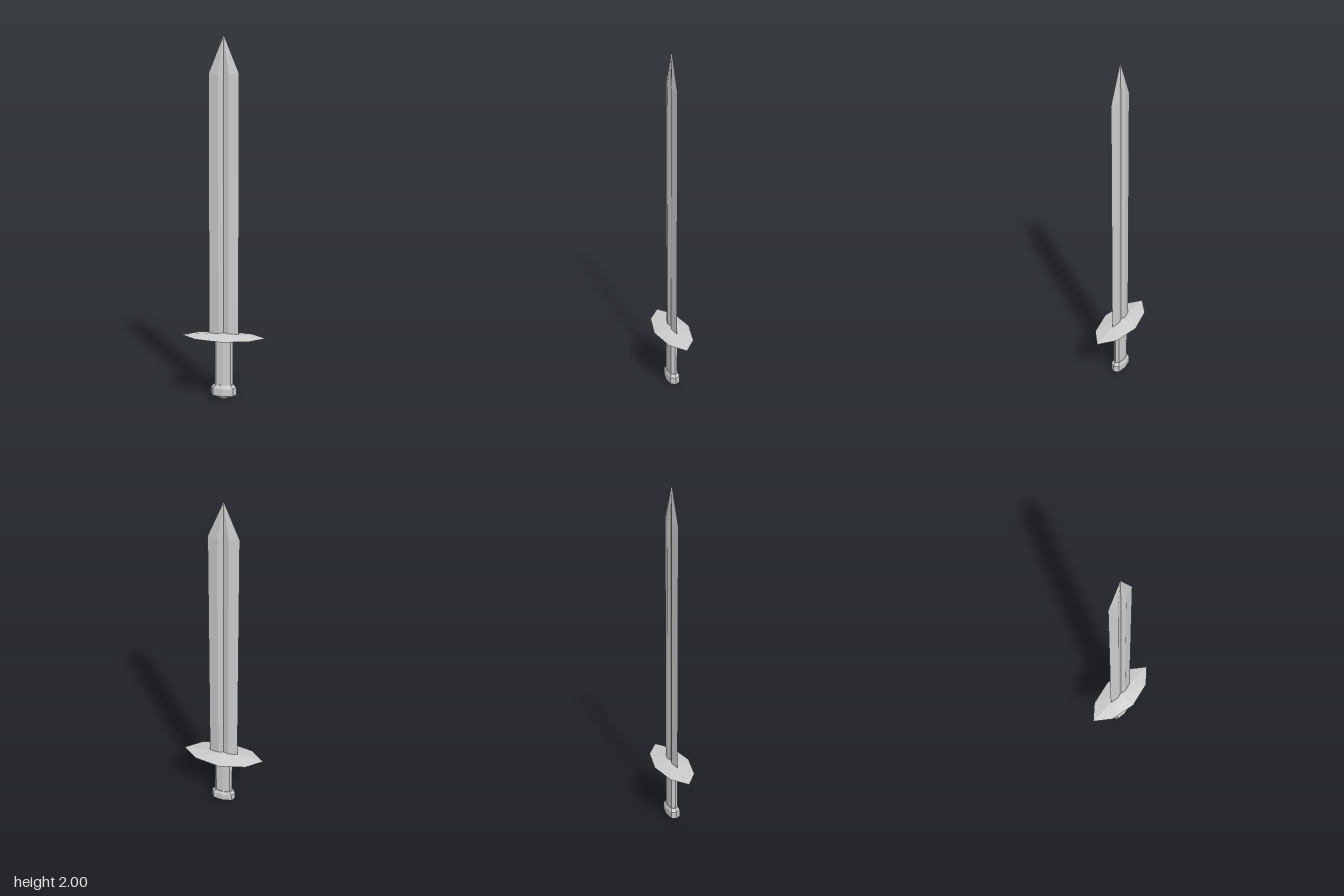
import * as THREE from 'three';

// Eight-sided outline, symmetric in x and z: end point, corner point, middle point.
function outline(endX, cornerX, cornerZ, midZ) {
  return [
    [endX, 0], [cornerX, cornerZ], [0, midZ], [-cornerX, cornerZ],
    [-endX, 0], [-cornerX, -cornerZ], [0, -midZ], [cornerX, -cornerZ],
  ];
}

// Skins a stack of [y, outline] sections from bottom to top, and closes both ends.
function loft(name, sections) {
  const pos = [];
  const point = (s, i) => {
    const [y, ring] = sections[s];
    const [x, z] = ring[i % ring.length];
    return [x, y, z];
  };
  const tri = (a, b, c) => pos.push(...a, ...b, ...c);
  const last = sections.length - 1;
  for (let i = 0; i < 8; i++) {
    for (let s = 0; s < last; s++) {
      const a = point(s, i), b = point(s, i + 1);
      const c = point(s + 1, i + 1), d = point(s + 1, i);
      tri(a, c, b);
      tri(a, d, c);
    }
    tri([0, sections[0][0], 0], point(0, i), point(0, i + 1));
    tri([0, sections[last][0], 0], point(last, i + 1), point(last, i));
  }
  const geometry = new THREE.BufferGeometry();
  geometry.setAttribute('position', new THREE.Float32BufferAttribute(pos, 3));
  geometry.computeVertexNormals();
  const material = new THREE.MeshStandardMaterial({ color: 0xcccccc, flatShading: true });
  const mesh = new THREE.Mesh(geometry, material);
  mesh.name = name;
  return mesh;
}

export function createModel() {
  const group = new THREE.Group();
  group.name = 'sword';
  const tip = outline(0, 0, 0, 0);

  // Blade: thin edges, two ridges and a shallow groove down the middle
  const bladeSection = outline(0.082, 0.028, 0.013, 0.004);
  group.add(loft('blade', [[0.37, bladeSection], [1.8, bladeSection], [2, tip]]));

  // Guard: flat eight-pointed disc, sloping on both faces
  group.add(loft('guard', [
    [0.34, outline(0.05, 0.038, 0.019, 0.026)],
    [0.365, outline(0.235, 0.148, 0.073, 0.105)],
    [0.388, outline(0.02, 0.012, 0.006, 0.01)],
  ]));

  // Grip
  const gripSection = outline(0.052, 0.04, 0.019, 0.025);
  group.add(loft('grip', [[0.08, gripSection], [0.35, gripSection]]));

  // Pommel: bevelled above, pointed below
  const pommelSection = outline(0.071, 0.055, 0.027, 0.036);
  group.add(loft('pommel', [
    [0, tip],
    [0.03, pommelSection],
    [0.072, pommelSection],
    [0.09, outline(0.056, 0.043, 0.021, 0.028)],
  ]));
  return group;
}
